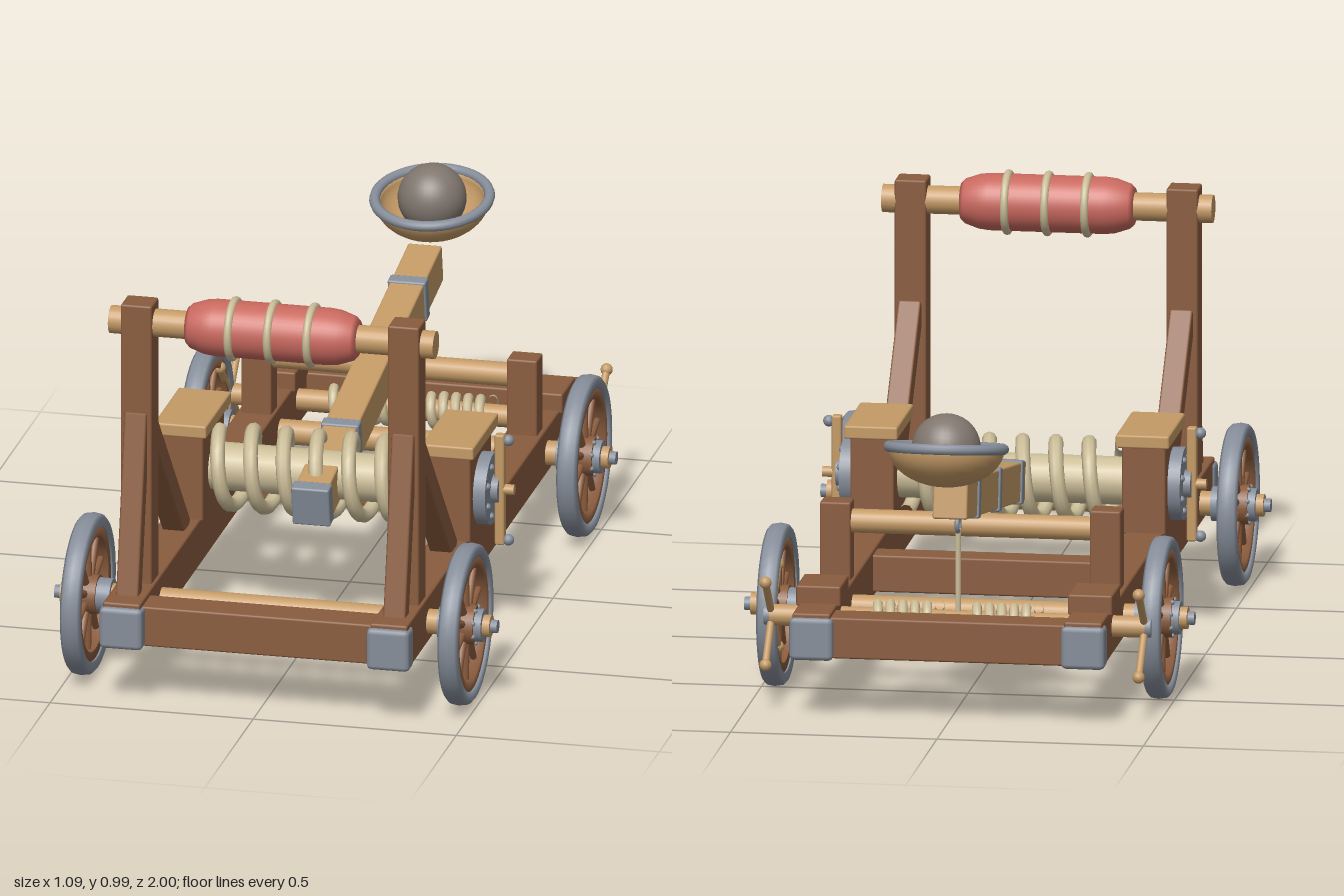
import * as THREE from 'three';
import { RoundedBoxGeometry } from 'three/addons/geometries/RoundedBoxGeometry.js';

const mat = (name, color) => {
  const m = new THREE.MeshStandardMaterial({ color });
  m.name = name;
  return m;
};

export function createModel() {
  const root = new THREE.Group();
  root.name = 'catapult';
  const timber = mat('timber', 0x8a5c3e), paleWood = mat('paleWood', 0xc49a66), rope = mat('rope', 0xcbbd98);
  const steel = mat('steel', 0x858d99), padding = mat('padding', 0xc8685e), stone = mat('stone', 0x80766e);

  const add = (name, geo, material, x = 0, y = 0, z = 0, parent = root) => {
    const m = new THREE.Mesh(geo, material);
    m.name = name;
    m.position.set(x, y, z);
    parent.add(m);
    return m;
  };
  const box = (w, h, d, r = 0.005) => new RoundedBoxGeometry(w, h, d, 1, r);
  // cylinder along x
  const rod = (r, len, seg = 20) => new THREE.CylinderGeometry(r, r, len, seg).rotateZ(Math.PI / 2);
  // revolved profile about the x axis, points are [radius, x]
  const turned = (pts, seg = 40) =>
    new THREE.LatheGeometry(pts.map(p => new THREE.Vector2(p[0], p[1])), seg).rotateZ(-Math.PI / 2);
  // rope wound round the x axis
  const coil = (x0, x1, radius, turns, tube) => {
    const c = new THREE.Curve();
    c.getPoint = (t, v = new THREE.Vector3()) => {
      const a = t * turns * Math.PI * 2;
      return v.set(x0 + (x1 - x0) * t, radius * Math.cos(a), radius * Math.sin(a));
    };
    return new THREE.TubeGeometry(c, Math.ceil(turns * 28), tube, 9);
  };
  // sloping timber in the yz plane from (z0,y0) to (z1,y1)
  const beam = (name, x, z0, y0, z1, y1, w, t) => {
    const m = add(name, box(w, Math.hypot(y1 - y0, z1 - z0), t), timber, x, (y0 + y1) / 2, (z0 + z1) / 2);
    m.rotation.x = Math.atan2(z1 - z0, y1 - y0);
  };

  // chassis cross members
  add('frontCrossBeam', box(0.6, 0.1, 0.09), timber, 0, 0.198, 0.915);
  add('rearCrossBeam', box(0.6, 0.1, 0.09), timber, 0, 0.2, -0.785);
  add('middleCrossBeam', box(0.6, 0.09, 0.08), timber, 0, 0.205, -0.11);

  // wheel with tyre, felloe, spokes and hub, outer face towards +x
  const tyreGeo = turned([[0.163, -0.022], [0.185, -0.025], [0.193, -0.018], [0.196, 0],
    [0.193, 0.018], [0.185, 0.025], [0.163, 0.022], [0.163, -0.022]], 48);
  const rimGeo = turned([[0.14, -0.018], [0.165, -0.018], [0.165, 0.018], [0.14, 0.018], [0.14, -0.018]], 48);
  const makeWheel = (name, side, z) => {
    const g = new THREE.Group();
    g.name = name;
    add('tyre', tyreGeo, steel, 0, 0, 0, g);
    add('woodRim', rimGeo, timber, 0, 0, 0, g);
    for (let i = 0; i < 10; i++) {
      const a = (i / 10) * Math.PI * 2;
      const s = add('spoke', new THREE.CylinderGeometry(0.008, 0.011, 0.12, 8), timber,
        0, Math.cos(a) * 0.09, Math.sin(a) * 0.09, g);
      s.rotation.x = a;
    }
    add('hub', rod(0.048, 0.056, 24), timber, 0, 0, 0, g);
    add('innerHubBand', rod(0.042, 0.034, 24), steel, -0.045, 0, 0, g);
    add('outerHubBand', rod(0.04, 0.02, 24), steel, 0.036, 0, 0, g);
    add('hubCap', rod(0.027, 0.022, 20), paleWood, 0.053, 0, 0, g);
    add('axlePin', rod(0.016, 0.02, 14), steel, 0.07, 0, 0, g);
    for (let i = 0; i < 8; i++) {
      const a = ((i + 0.5) / 8) * Math.PI * 2;
      add('hubBolt', new THREE.SphereGeometry(0.006, 8, 6), steel, 0.028, Math.cos(a) * 0.044, Math.sin(a) * 0.044, g);
    }
    g.position.set(side * 0.465, 0.196, z);
    if (side < 0) g.rotation.y = Math.PI;
    root.add(g);
  };

  for (const [n, z] of [['front', 0.757], ['rear', -0.47]]) {
    add(n + 'Axle', rod(0.03, 0.88), paleWood, 0, 0.196, z);
    makeWheel(n + 'LeftWheel', 1, z);
    makeWheel(n + 'RightWheel', -1, z);
  }

  // parts repeated on both sides
  for (const s of [1, -1]) {
    const x = s * 0.329;
    add('sideRail', box(0.092, 0.115, 1.82), timber, x, 0.2025, 0.072);
    add('frontCornerPlate', box(0.106, 0.104, 0.06, 0.012), steel, x, 0.198, 0.967);
    add('rearCornerPlate', box(0.106, 0.104, 0.06, 0.012), steel, x, 0.198, -0.82);

    // stop frame
    add('upright', box(0.077, 0.72, 0.075), timber, x, 0.605, 0.793);
    beam('rearBrace', x, 0.40, 0.25, 0.765, 0.655, 0.055, 0.055);
    beam('frontBrace', x, 0.905, 0.25, 0.815, 0.69, 0.055, 0.042);

    // rope housing with cap, ratchet disc and winding bar
    add('ropeHousing', box(0.106, 0.22, 0.22), timber, x, 0.365, 0.25);
    add('housingCap', box(0.13, 0.032, 0.262), paleWood, x, 0.488, 0.247);
    add('ratchetDisc', rod(0.088, 0.03, 32), steel, s * 0.398, 0.36, 0.25);
    add('ratchetHub', rod(0.034, 0.02, 20), steel, s * 0.42, 0.36, 0.25);
    for (let i = 0; i < 8; i++) {
      const a = ((i + 0.5) / 8) * Math.PI * 2;
      add('discBolt', new THREE.SphereGeometry(0.009, 8, 6), steel, s * 0.413,
        0.36 + Math.cos(a) * 0.067, 0.25 + Math.sin(a) * 0.067);
    }
    add('windingBar', box(0.024, 0.28, 0.026), paleWood, s * 0.43, 0.36, 0.25);
    add('windingPin', rod(0.013, 0.03, 12), paleWood, s * 0.45, 0.36, 0.25);
    for (const y of [0.232, 0.485])
      add('barKnob', new THREE.SphereGeometry(0.014, 12, 8), steel, s * 0.45, y, 0.25);

    // arm rest post and winch bearing
    add('restPost', box(0.075, 0.2, 0.065), timber, s * 0.327, 0.35, -0.435);
    add('winchBearing', box(0.108, 0.05, 0.135), timber, x, 0.277, -0.657);

    // winch handles
    const h = new THREE.Group();
    h.name = 'winchHandle';
    h.position.set(s * 0.452, 0.213, -0.655);
    root.add(h);
    add('handleHub', rod(0.025, 0.034), steel, 0, 0, 0, h);
    for (let i = 0; i < 4; i++) {
      const a = Math.PI / 4 + (i * Math.PI) / 2;
      const grip = add('handleSpoke', new THREE.CylinderGeometry(0.009, 0.009, 0.14, 10), paleWood,
        0, Math.cos(a) * 0.07, Math.sin(a) * 0.07, h);
      grip.rotation.x = a;
      add('handleKnob', new THREE.SphereGeometry(0.015, 12, 8), paleWood, 0, Math.cos(a) * 0.143, Math.sin(a) * 0.143, h);
    }
  }

  // padded stop bar
  add('stopBar', rod(0.034, 0.8, 24), paleWood, 0, 0.912, 0.79);
  add('stopPad', turned([[0, -0.21], [0.044, -0.21], [0.054, -0.2], [0.066, -0.165], [0.069, -0.14],
    [0.069, 0.14], [0.066, 0.165], [0.054, 0.2], [0.044, 0.21], [0, 0.21]]), padding, 0, 0.912, 0.79);
  for (const x of [-0.097, 0, 0.097])
    add('padTie', new THREE.TorusGeometry(0.069, 0.01, 10, 36).rotateY(Math.PI / 2), rope, x, 0.912, 0.79);

  // twisted rope bundle
  add('ropeCore', rod(0.058, 0.56, 20), rope, 0, 0.362, 0.25);
  add('torsionCoil', coil(-0.262, 0.262, 0.092, 6.5, 0.018), rope, 0, 0.36, 0.245);

  // rest bar
  add('restBar', rod(0.029, 0.64), paleWood, 0, 0.4, -0.435);

  // winch drum, windings and pull rope
  add('winchDrum', rod(0.026, 0.91), paleWood, 0, 0.213, -0.655);
  add('leftWinding', coil(0.045, 0.195, 0.036, 5, 0.012), rope, 0, 0.213, -0.655);
  add('rightWinding', coil(-0.195, -0.045, 0.036, 5, 0.012), rope, 0, 0.213, -0.655);
  add('pullRope', new THREE.CylinderGeometry(0.007, 0.007, 0.22, 10), rope, 0, 0.33, -0.658);
  add('pullRing', new THREE.TorusGeometry(0.018, 0.006, 8, 20).rotateY(Math.PI / 2), steel, 0, 0.452, -0.658);

  // throwing arm, local z runs along its length
  const arm = new THREE.Group();
  arm.name = 'throwingArm';
  arm.position.set(0, 0.437, -0.195);
  arm.rotation.x = 0.174;
  root.add(arm);
  add('armBeam', box(0.084, 0.096, 1.2), paleWood, 0, 0, 0, arm);
  add('buttPlate', box(0.094, 0.1, 0.04), steel, 0, 0, 0.592, arm);
  for (const z of [0.282, -0.078, -0.42]) add('armBand', box(0.094, 0.106, 0.035), steel, 0, 0, z, arm);

  // cup with rim and shot
  const cup = new THREE.Group();
  cup.name = 'cup';
  cup.position.set(0, 0.682, -0.85);
  cup.rotation.x = 0.19;
  root.add(cup);
  const profile = [];
  for (let i = 0; i <= 10; i++) {
    const a = (i / 10) * Math.PI / 2;
    profile.push(new THREE.Vector2(Math.sin(a) * 0.14, -Math.cos(a) * 0.095));
  }
  for (let i = 10; i >= 0; i--) {
    const a = (i / 10) * Math.PI / 2;
    profile.push(new THREE.Vector2(Math.sin(a) * 0.126, -Math.cos(a) * 0.08));
  }
  add('bowl', new THREE.LatheGeometry(profile, 40), paleWood, 0, 0, 0, cup);
  add('bowlRim', new THREE.TorusGeometry(0.138, 0.013, 10, 48).rotateX(Math.PI / 2), steel, 0, 0, 0, cup);
  add('shot', new THREE.SphereGeometry(0.083, 32, 20), stone, 0, 0, 0, cup);

  return root;
}
